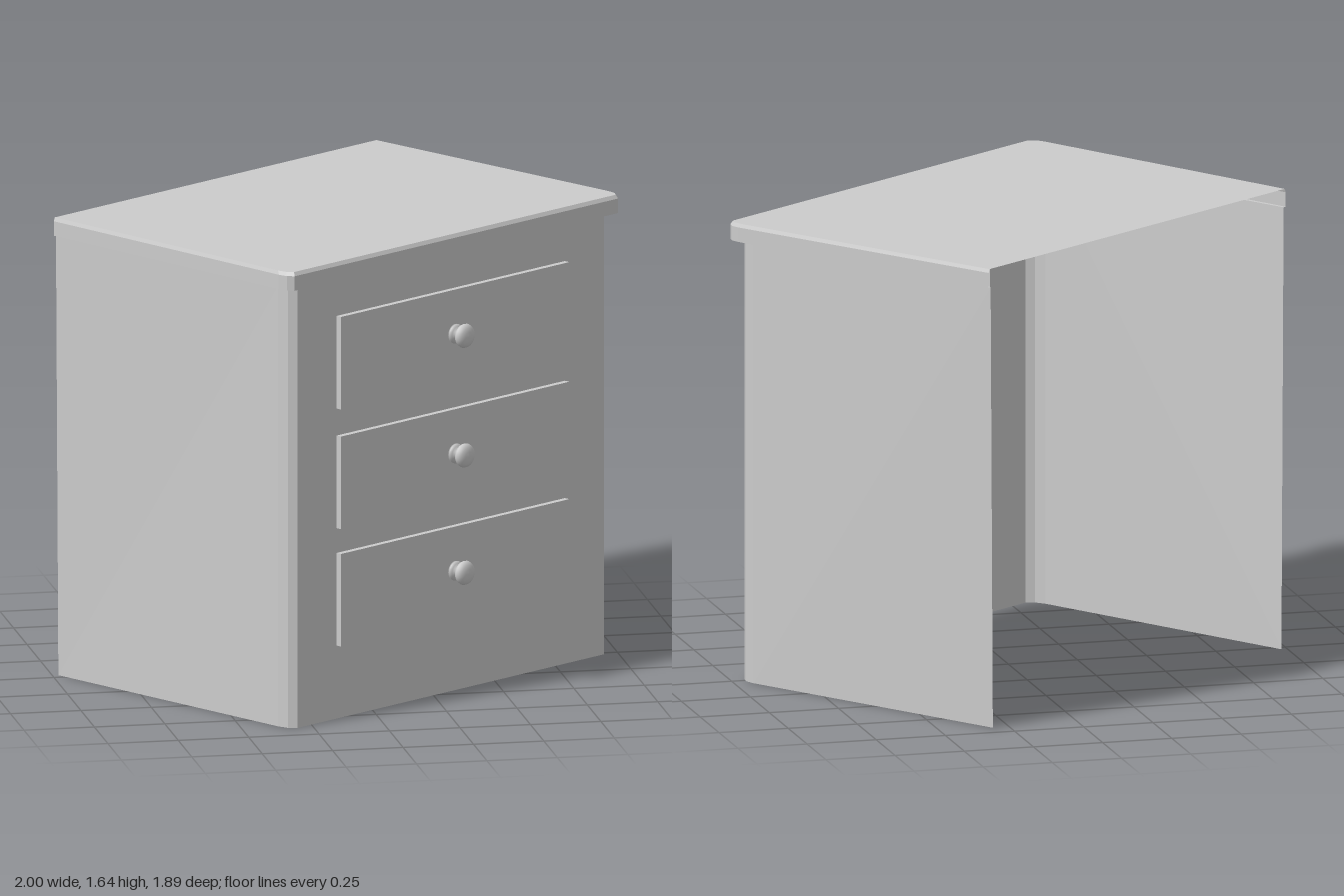
import * as THREE from 'three';

const material = new THREE.MeshStandardMaterial({ color: 0xcccccc, flatShading: true, side: THREE.DoubleSide });
const smooth = new THREE.MeshStandardMaterial({ color: 0xcccccc, side: THREE.DoubleSide });

function add(parent, name, geometry, mat = material) {
  const mesh = new THREE.Mesh(geometry, mat);
  mesh.name = name;
  parent.add(mesh);
  return mesh;
}

// Open-backed plan outline at height y, from the left half [x, z] points and their mirror
function ring(half, y) {
  const mirrored = half.map(([x, z]) => [-x, y, z]);
  return [...mirrored, ...half.map(([x, z]) => [x, y, z]).reverse()];
}

// Skin between successive rings, optionally leaving out one segment
function loft(rings, skip = -1) {
  const pos = [];
  for (let i = 0; i < rings.length - 1; i++) {
    for (let j = 0; j < rings[i].length - 1; j++) {
      if (j === skip) continue;
      const a = rings[i][j], b = rings[i][j + 1], c = rings[i + 1][j + 1], d = rings[i + 1][j];
      pos.push(...a, ...b, ...c, ...a, ...c, ...d);
    }
  }
  const g = new THREE.BufferGeometry();
  g.setAttribute('position', new THREE.Float32BufferAttribute(pos, 3));
  g.computeVertexNormals();
  return g;
}

export function createModel() {
  const model = new THREE.Group();
  model.name = 'chestOfDrawers';
  const chest = new THREE.Group();
  chest.name = 'chest';
  chest.rotation.y = 0.609; // the chest stands turned on the spot
  model.add(chest);

  const bodyH = 1.58, frontZ = 0.56, frontX = 0.765;
  const drawerW = 1.14, drawerH = 0.332, drawerD = 0.022;
  const drawerYs = [0.428, 0.849, 1.278];

  // Side walls with rounded front corners
  const corner = [[0.795, 0.495], [0.787, 0.535], [frontX, frontZ]];
  const bodyBottom = ring([[0.785, -0.585], ...corner], 0);
  const bodyTop = ring([[0.797, -0.585], ...corner], bodyH);
  add(chest, 'sideWalls', loft([bodyBottom, bodyTop], 3));

  // Front panel with drawer openings
  const rect = (P, x, y0, y1) => {
    const p = new P();
    p.moveTo(-x, y0);
    p.lineTo(x, y0);
    p.lineTo(x, y1);
    p.lineTo(-x, y1);
    p.closePath();
    return p;
  };
  const front = rect(THREE.Shape, frontX, 0, bodyH);
  for (const y of drawerYs) front.holes.push(rect(THREE.Path, drawerW / 2, y - drawerH / 2, y + drawerH / 2));
  add(chest, 'frontPanel', new THREE.ShapeGeometry(front)).position.z = frontZ;

  // Hollow top with an overhanging lip and a small bevel
  const lip = [[0.808, -0.585], [0.83, 0.532], [0.825, 0.567], [0.808, 0.588]];
  const inset = lip.map(([x, z], i) => [x - 0.005, i ? z - 0.008 : z]);
  add(chest, 'top', loft([
    bodyTop,
    ring(lip, bodyH),
    ring(lip, 1.632),
    ring(inset, 1.645),
    ring(inset.map(([, z]) => [0, z]), 1.645),
  ]));

  // Drawer fronts (open behind) and knobs
  const knobProfile = [
    [0, 0], [0.035, 0], [0.035, 0.006], [0.028, 0.012], [0.016, 0.016], [0.015, 0.026], [0.03, 0.03],
    [0.04, 0.038], [0.043, 0.047], [0.04, 0.056], [0.03, 0.063], [0.016, 0.067], [0, 0.068],
  ].map(([r, h]) => new THREE.Vector2(r, h));
  const knobGeo = new THREE.LatheGeometry(knobProfile, 24).rotateX(Math.PI / 2);
  const drawerGeo = new THREE.BoxGeometry(drawerW, drawerH, drawerD);
  drawerGeo.setIndex([...drawerGeo.index.array].slice(0, 30));
  drawerGeo.clearGroups();
  for (const y of drawerYs) {
    const drawer = new THREE.Group();
    drawer.name = 'drawer';
    drawer.position.set(0, y, frontZ);
    add(drawer, 'drawerFront', drawerGeo).position.z = drawerD / 2;
    add(drawer, 'knob', knobGeo, smooth).position.set(0, 0.008, drawerD);
    chest.add(drawer);
  }
  return model;
}
